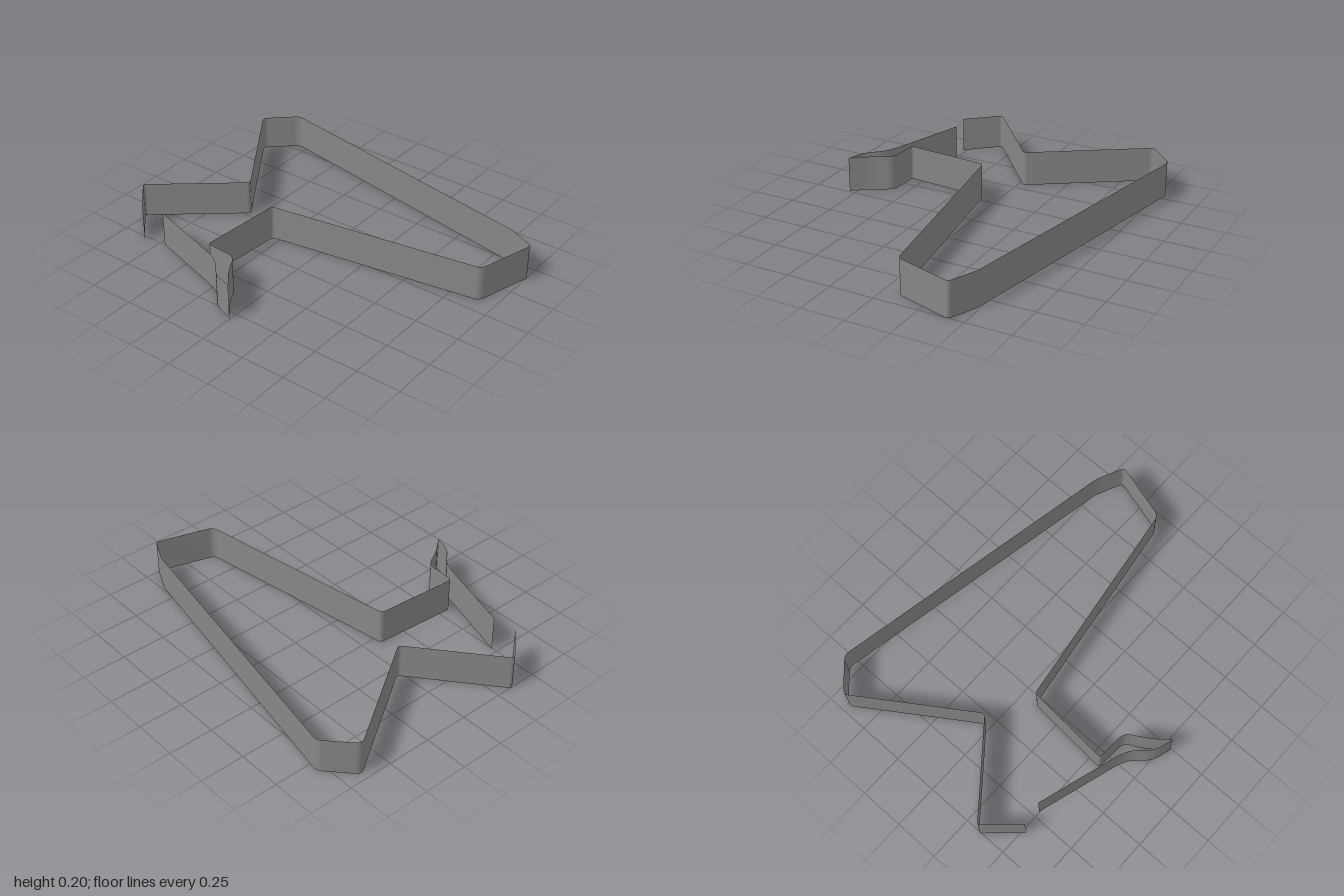
import * as THREE from 'three';

const HEIGHT = 0.2;

// Plan of the band as [x, z, corner rounding], from one open end to the other
const PLAN = [
  [-0.52, -0.845, 0],
  [-0.342, -1.008, 0.02],
  [0.03, -0.55, 0.02],
  [0.65, -0.965, 0.03],
  [0.798, -0.805, 0.03],
  [0.487, 0.85, 0.02],
  [0.435, 0.965, 0.015],
  [0.417, 1.006, 0.02],
  [0.09, 0.91, 0.03],
  [-0.093, -0.295, 0.02],
  [-0.572, -0.33, 0.02],
  [-0.58, -0.15, 0.04],
  [-0.7, -0.085, 0.07],
  [-0.79, -0.01, 0],
  [-0.76, -0.115, 0.05],
  [-0.665, -0.2, 0.04],
  [-0.635, -0.265, 0.03],
  [-0.497, -0.718, 0],
];

// Replace each corner with a short curve
function roundedPath(plan) {
  const pts = [];
  plan.forEach(([x, z, r], i) => {
    const p = new THREE.Vector2(x, z);
    if (r === 0) { pts.push(p); return; }
    const toward = ([qx, qz]) => {
      const d = new THREE.Vector2(qx - x, qz - z);
      return d.setLength(Math.min(r, d.length() * 0.45)).add(p);
    };
    const arc = new THREE.QuadraticBezierCurve(toward(plan[i - 1]), p, toward(plan[i + 1]));
    pts.push(...arc.getPoints(5));
  });
  return pts;
}

// Upright strip standing on the ground along the path
function ribbon(pts, height) {
  const positions = [], index = [];
  pts.forEach((p, i) => {
    positions.push(p.x, 0, p.y, p.x, height, p.y);
    if (i > 0) {
      const a = 2 * (i - 1);
      index.push(a, a + 1, a + 2, a + 2, a + 1, a + 3);
    }
  });
  const geometry = new THREE.BufferGeometry();
  geometry.setAttribute('position', new THREE.Float32BufferAttribute(positions, 3));
  geometry.setIndex(index);
  geometry.computeVertexNormals();
  return geometry;
}

export function createModel() {
  const group = new THREE.Group();
  group.name = 'outlineBand';
  const material = new THREE.MeshStandardMaterial({ color: 0x868686, side: THREE.DoubleSide });
  // The band is split at its sharp tip so that the crease stays crisp
  const tip = PLAN.findIndex(([, , r], i) => i > 0 && r === 0);
  const parts = { mainWall: PLAN.slice(0, tip + 1), sideWall: PLAN.slice(tip) };
  for (const [name, plan] of Object.entries(parts)) {
    const mesh = new THREE.Mesh(ribbon(roundedPath(plan), HEIGHT), material);
    mesh.name = name;
    group.add(mesh);
  }
  return group;
}
